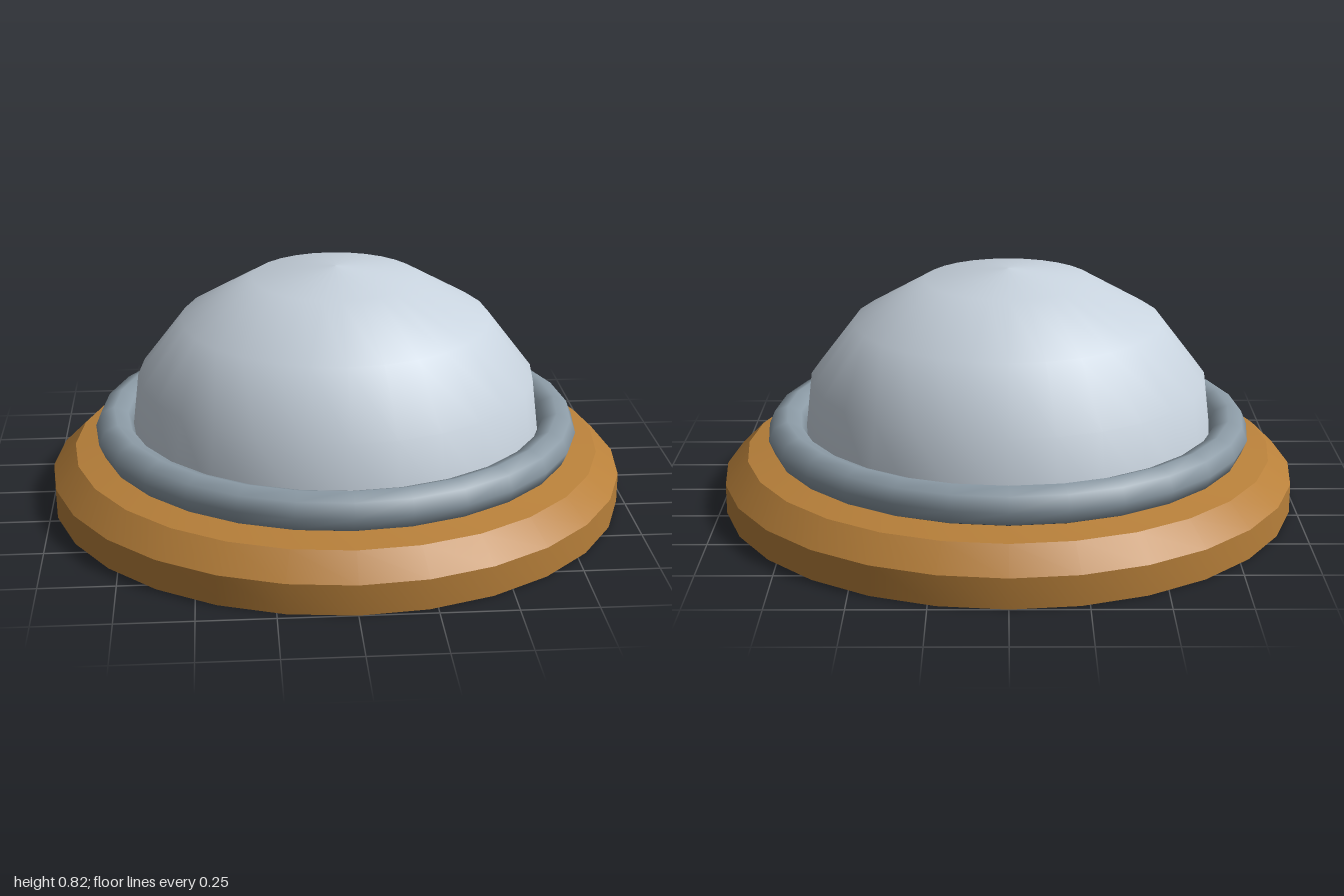
import * as THREE from 'three';
import { toCreasedNormals } from 'three/addons/utils/BufferGeometryUtils.js';

const SIDES = 28;

const material = (name, color, side = THREE.FrontSide) => {
  const m = new THREE.MeshStandardMaterial({ color, side });
  m.name = name;
  return m;
};

const lathe = (points) =>
  new THREE.LatheGeometry(points.map(([r, y]) => new THREE.Vector2(r, y)), SIDES);

export function createModel() {
  const model = new THREE.Group();
  model.name = 'domedCap';

  const add = (name, geometry, mat) => {
    const mesh = new THREE.Mesh(geometry, mat);
    mesh.name = name;
    model.add(mesh);
    return mesh;
  };

  const bronze = material('bronze', 0xb8803a, THREE.DoubleSide);
  const steel = material('steel', 0x8c9ba6);
  const paleMetal = material('paleMetal', 0xc8d3de);
  const amber = material('amber', 0xe0962e);

  // Open base flange: upright wall, bevel and shallow top
  const flange = lathe([[1, 0], [1, 0.103], [0.92, 0.182], [0.82, 0.2]]);
  add('baseFlange', toCreasedNormals(flange, 0.5), bronze);

  // Rounded collar around the foot of the dome
  const collar = new THREE.TorusGeometry(0.778, 0.067, 8, SIDES);
  collar.rotateX(Math.PI / 2);
  add('collar', collar, steel).position.y = 0.25;

  // Outer dome shell
  const profile = [[0.718, 0.21], [0.69, 0.439], [0.535, 0.64], [0.289, 0.781], [0, 0.818]];
  add('domeShell', lathe(profile), paleMetal);

  // Inner lining, running top to bottom so that it faces inwards
  const lining = profile.map(([r, y]) => [r * 0.975, 0.195 + (y - 0.21) * 0.98]).reverse();
  add('domeLining', lathe(lining), amber);

  return model;
}
